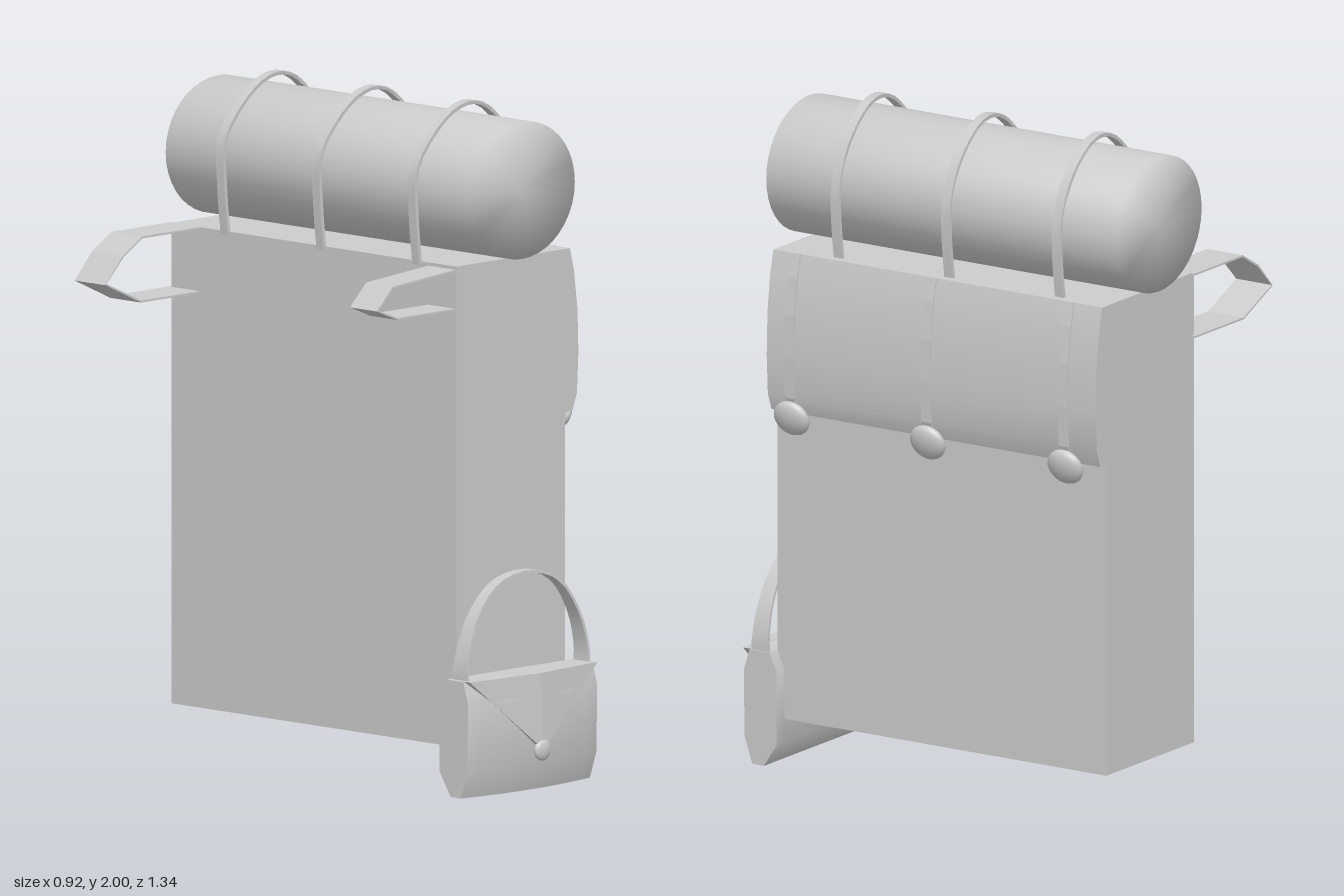
import * as THREE from 'three';
import { toCreasedNormals } from 'three/addons/utils/BufferGeometryUtils.js';
import { ConvexGeometry } from 'three/addons/geometries/ConvexGeometry.js';

const material = new THREE.MeshStandardMaterial({ color: 0xcccccc, side: THREE.DoubleSide });

function add(group, name, geometry, x = 0, y = 0, z = 0) {
  const mesh = new THREE.Mesh(geometry, material);
  mesh.name = name;
  mesh.position.set(x, y, z);
  group.add(mesh);
  return mesh;
}

const toShape = (pts) => new THREE.Shape(pts.map(([x, y]) => new THREE.Vector2(x, y)));

// Moves every vertex by a rule
function warp(geometry, rule) {
  const p = geometry.attributes.position;
  const v = new THREE.Vector3();
  for (let i = 0; i < p.count; i++) {
    rule(v.fromBufferAttribute(p, i));
    p.setXYZ(i, v.x, v.y, v.z);
  }
  return geometry;
}

// Flat band that follows an x-y path; z0 is its near edge, width runs along +z
function ribbon(path, z0, width, thickness, samples = 0) {
  let pts = path.map(([x, y]) => new THREE.Vector2(x, y));
  if (samples) pts = new THREE.SplineCurve(pts).getPoints(samples);
  const side = (s) => pts.map((p, i) => {
    const t = pts[Math.min(i + 1, pts.length - 1)].clone().sub(pts[Math.max(i - 1, 0)]).normalize();
    return [p.x - t.y * s * thickness / 2, p.y + t.x * s * thickness / 2];
  });
  const geo = new THREE.ExtrudeGeometry(toShape([...side(1), ...side(-1).reverse()]),
    { depth: width, bevelEnabled: false });
  return geo.translate(0, 0, z0);
}

// Flattened round stud
function stud(group, name, x, y, z, rx, ry, rz, tilt = 0) {
  const mesh = add(group, name, new THREE.SphereGeometry(1, 20, 14), x, y, z);
  mesh.scale.set(rx, ry, rz);
  mesh.rotation.z = tilt;
}

export function createModel() {
  const model = new THREE.Group();
  model.name = 'backpack';

  // Main bag
  add(model, 'bag', new THREE.BoxGeometry(0.455, 1.42, 1.16), 0.157, 0.85, -0.05);

  // Closing flap, a bulged slab over the upper half
  const bulge = [[0.405, 1.56], [0.422, 1.49], [0.436, 1.38], [0.44, 1.25], [0.434, 1.13], [0.415, 1.08]];
  const flap = new THREE.ExtrudeGeometry(toShape([[0.38, 1.56], ...bulge, [0.38, 1.075]]),
    { depth: 1.16, bevelEnabled: false });
  add(model, 'closingFlap', toCreasedNormals(flap.translate(0, 0, -0.63), 0.6));

  // Flap straps and their buttons
  for (const z of [0.45, -0.03, -0.515]) {
    add(model, 'flapStrap', ribbon(bulge, z - 0.017, 0.034, 0.008));
    stud(model, 'flapButton', 0.428, 1.067, z, 0.026, 0.056, 0.06, -0.32);
  }

  // Bedroll, smooth-shaded over its rims
  const h = 0.617;
  const roll = new THREE.LatheGeometry(
    [[0, -h], [0.222, -h], [0.222, h], [0, h]].map(([x, y]) => new THREE.Vector2(x, y)), 40);
  const bedroll = add(model, 'bedroll', roll.rotateX(Math.PI / 2), 0.163, 1.763, -0.048);
  bedroll.scale.y = 0.915;

  // Bands over the bedroll, skewed a little along z
  const bandPath = [[-0.07, 1.55], [-0.085, 1.7], [-0.08, 1.84], [0.02, 1.95], [0.14, 1.995],
    [0.25, 1.98], [0.34, 1.9], [0.385, 1.79], [0.388, 1.68], [0.372, 1.55]];
  for (const z of [0.37, -0.02, -0.41]) {
    const band = ribbon(bandPath, z - 0.015, 0.03, 0.011, 28);
    warp(band, (v) => { v.z -= 0.05 * THREE.MathUtils.smoothstep(v.x, -0.05, 0.3); });
    add(model, 'bedrollBand', toCreasedNormals(band, 0.7));
  }

  // Shoulder straps, angular loops out of the back
  add(model, 'rightShoulderStrap', ribbon(
    [[-0.06, 1.557], [-0.31, 1.557], [-0.39, 1.51], [-0.463, 1.435], [-0.315, 1.368], [-0.06, 1.368]],
    -0.64, 0.125, 0.006));
  add(model, 'leftShoulderStrap', ribbon(
    [[-0.06, 1.548], [-0.33, 1.527], [-0.395, 1.465], [-0.31, 1.432], [-0.06, 1.432]],
    0.415, 0.11, 0.006));

  // Side pouch, faceted section run along x and bellied at the front
  const pouch = new THREE.Group();
  pouch.name = 'sidePouch';
  model.add(pouch);
  const section = [[0.505, 0.07], [0.55, 0], [0.605, 0], [0.632, 0.08], [0.635, 0.28],
    [0.615, 0.345], [0.53, 0.345], [0.505, 0.29]].map(([z, y]) => [-z, y]);
  const body = new THREE.ExtrudeGeometry(toShape(section), { depth: 0.54, steps: 12, bevelEnabled: false });
  body.rotateY(Math.PI / 2).translate(-0.115, 0, 0);
  warp(body, (v) => {
    const u = (v.x - 0.155) / 0.27;
    if (v.z > 0.6) v.z += 0.014 * (1 - 2 * u * u);
  });
  add(pouch, 'pouchBody', toCreasedNormals(body, 0.75));

  // Pointed pouch flap with a centre ridge
  const corners = [[-0.112, 0.346, 0.625], [0.155, 0.346, 0.65], [0.422, 0.346, 0.625], [0.16, 0.12, 0.663],
    [-0.112, 0.346, 0.6], [0.422, 0.346, 0.6], [0.16, 0.12, 0.62]];
  add(pouch, 'pouchFlap', new ConvexGeometry(corners.map((c) => new THREE.Vector3(...c))));
  stud(pouch, 'pouchButton', 0.16, 0.12, 0.656, 0.032, 0.032, 0.014);

  // Pouch handle, wider at its feet
  const handle = ribbon([[-0.09, 0.335], [-0.085, 0.4], [-0.04, 0.52], [0.04, 0.605], [0.14, 0.635],
    [0.25, 0.625], [0.33, 0.575], [0.39, 0.48], [0.415, 0.39], [0.415, 0.335]], -0.5, 1, 0.009, 24);
  warp(handle, (v) => {
    const width = THREE.MathUtils.mapLinear(v.y, 0.34, 0.64, 0.06, 0.035);
    v.z = 0.567 + v.z * width;
  });
  add(pouch, 'pouchHandle', toCreasedNormals(handle, 0.7));

  return model;
}
